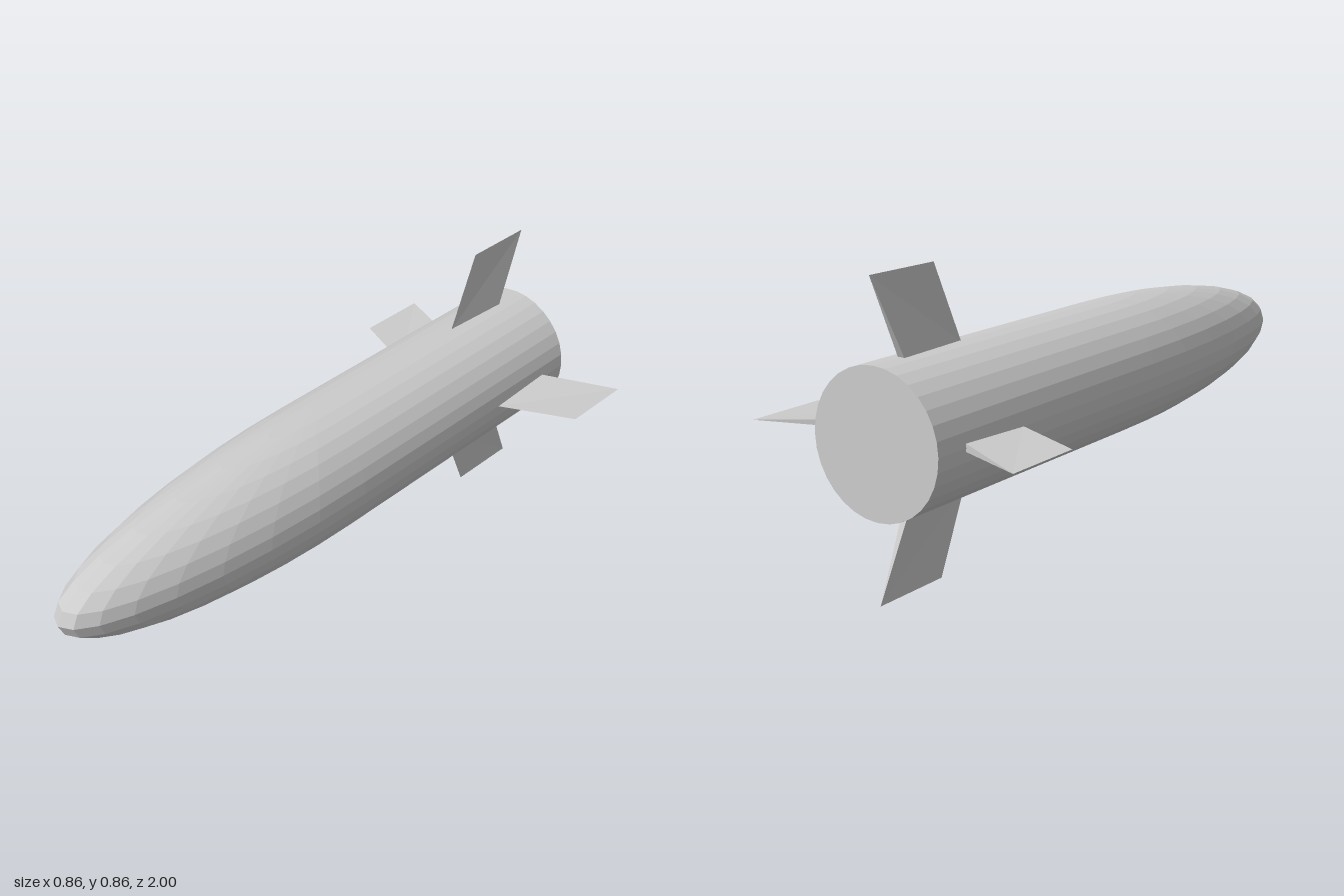
import * as THREE from 'three';

const RADIUS = 0.205;
const AXIS_Y = 0.431;

// Swept fin pointing up: sharp leading edge and tip, blunt trailing edge
function finGeometry() {
  const t = 0.011, rootY = 0.201, tipY = AXIS_Y;
  const corners = [
    0, rootY, -0.65, // 0 root, leading
    t, rootY, -0.89, // 1 root, trailing left
    -t, rootY, -0.89, // 2 root, trailing right
    0, tipY, -0.755, // 3 tip, leading
    0, tipY, -1, // 4 tip, trailing
  ];
  const faces = [
    0, 1, 4, 0, 4, 3, // left side
    0, 4, 2, 0, 3, 4, // right side
    1, 2, 4, // trailing edge
    0, 2, 1, // root
  ];
  const g = new THREE.BufferGeometry();
  g.setAttribute('position', new THREE.Float32BufferAttribute(corners, 3));
  g.setIndex(faces);
  const flat = g.toNonIndexed();
  flat.computeVertexNormals();
  return flat;
}

export function createModel() {
  const model = new THREE.Group();
  model.name = 'rocket';
  // Double-sided for the open shells and the thin fins
  const grey = new THREE.MeshStandardMaterial({
    color: 0xcccccc, flatShading: true, side: THREE.DoubleSide,
  });
  grey.name = 'light grey';

  const add = (name, geometry) => {
    const mesh = new THREE.Mesh(geometry, grey);
    mesh.name = name;
    mesh.position.y = AXIS_Y;
    model.add(mesh);
    return mesh;
  };

  // Front half of a sphere stretched forward
  const nose = new THREE.SphereGeometry(RADIUS, 16, 16, 0, Math.PI);
  nose.scale(1, 1, 1 / RADIUS);
  add('nose', nose);

  // Straight tube and its flat rear end
  const tube = new THREE.CylinderGeometry(RADIUS, RADIUS, 1, 32, 1, true);
  tube.rotateX(Math.PI / 2).translate(0, 0, -0.5);
  add('body', tube);
  add('rearCap', new THREE.CircleGeometry(RADIUS, 32).rotateY(Math.PI).translate(0, 0, -1));

  // Four fins around the tail
  const fin = finGeometry();
  ['topFin', 'rightFin', 'bottomFin', 'leftFin'].forEach((name, i) => {
    add(name, fin).rotation.z = (i * Math.PI) / 2;
  });

  return model;
}
